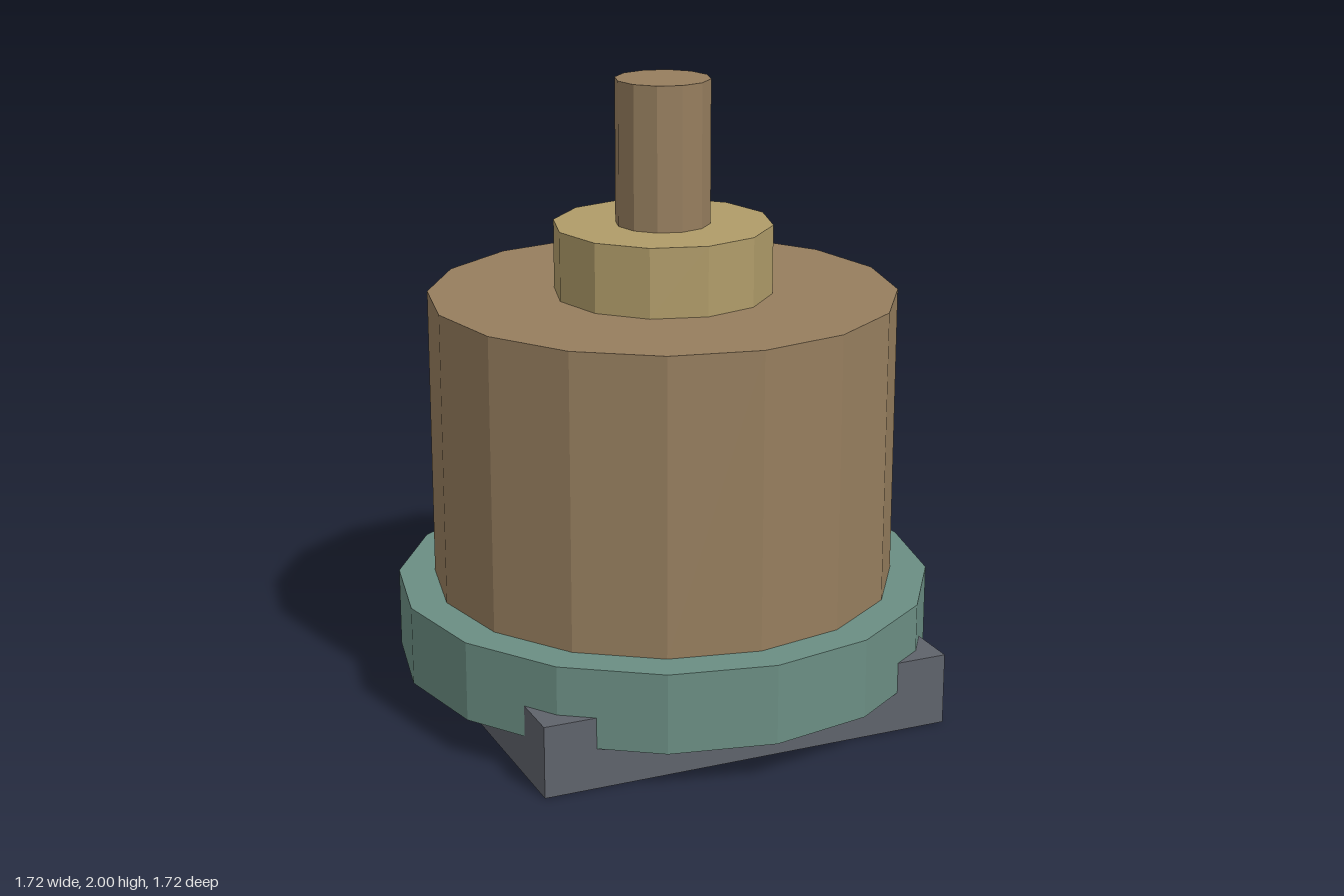
import * as THREE from 'three';

const flat = (name, color) => {
  const m = new THREE.MeshStandardMaterial({ color, flatShading: true });
  m.name = name;
  return m;
};

export function createModel() {
  const group = new THREE.Group();
  group.name = 'motor';

  const bronze = flat('bronze', 0x967e5e);
  const brass = flat('brass', 0xb09c69);
  const green = flat('sea green', 0x6b8e83);
  const grey = flat('slate grey', 0x5f636b);

  const add = (name, geometry, material, x, y, z, turn = 0) => {
    const mesh = new THREE.Mesh(geometry, material);
    mesh.name = name;
    mesh.position.set(x, y, z);
    mesh.rotation.y = turn;
    group.add(mesh);
  };

  // Upright faceted drum between two heights
  const drum = (name, r, sides, y0, y1, material) =>
    add(name, new THREE.CylinderGeometry(r, r, y1 - y0, sides), material, 0, (y0 + y1) / 2, 0);

  // Square base plate, with the flange sunk into its top
  add('basePlate', new THREE.BoxGeometry(1.35, 0.23, 1.35), grey, 0, 0.115, 0);

  // Stacked round parts
  drum('flange', 0.86, 16, 0.13, 0.385, green);
  drum('body', 0.743, 16, 0.385, 1.325, bronze);
  drum('collar', 0.347, 12, 1.325, 1.545, brass);
  drum('shaft', 0.15, 12, 1.545, 2, bronze);

  // Terminal strips standing on the flange at the back
  const strip = (name, x, z, top, turn) =>
    add(name, new THREE.BoxGeometry(0.085, top - 0.36, 0.043), grey, x, (top + 0.36) / 2, z, turn);
  strip('tallStrip', 0.254, -0.684, 1.085, -0.3);
  strip('shortStrip', 0.44, -0.604, 0.585, 0.33);

  return group;
}
